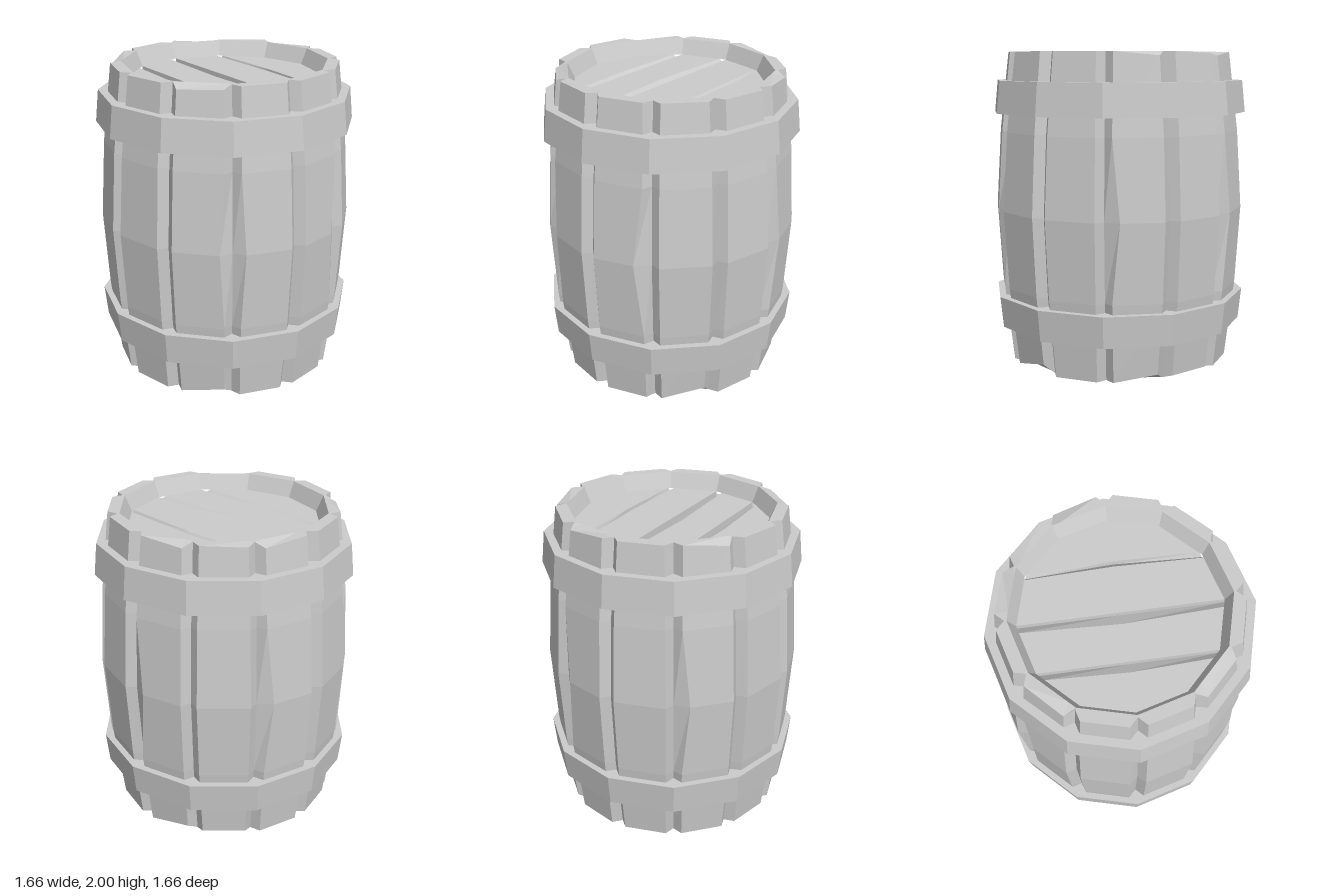
import * as THREE from 'three';

const SIDES = 12;
const material = new THREE.MeshStandardMaterial({ color: 0xcccccc, flatShading: true });

function meshFrom(name, positions, index) {
  const geometry = new THREE.BufferGeometry();
  geometry.setAttribute('position', new THREE.Float32BufferAttribute(positions, 3));
  geometry.setIndex(index);
  const flat = geometry.toNonIndexed();
  flat.computeVertexNormals();
  const mesh = new THREE.Mesh(flat, material);
  mesh.name = name;
  return mesh;
}

// Worn staves: lo/hi = side inset at mid height, bot/top = chipped end corners [lo, hi]
const wear = {
  0: { hi: 0.06 },
  1: { bot: [0, 0.06] },
  3: { lo: 0.05, bot: [0, 0.04], top: [0, 0.025] },
  4: { bot: [0.02, 0.02], top: [0, 0.01] },
  5: { lo: 0.05, top: [0.025, 0] },
  7: { lo: 0.05, top: [0, 0.03] },
  10: { hi: 0.03, bot: [0, 0.04], top: [0.03, 0.02] },
  11: { lo: 0.03 },
};

// Rows of the wall: [y, radius, groove radius, kind], from bottom recess over the outside to top recess
const rows = [
  [0.1, 0.61, 0.61], [0, 0.655, 0.655],
  [0, 0.733, 0.668, 'bot'], [0.5, 0.793, 0.73], [1, 0.824, 0.76, 'mid'], [1.5, 0.793, 0.73], [2, 0.733, 0.668, 'top'],
  [2, 0.655, 0.655], [1.9, 0.61, 0.61],
];

function createStaves() {
  const positions = [], index = [];
  const corner = (r, i) => {
    const a = (i / SIDES) * Math.PI * 2;
    return new THREE.Vector3(Math.sin(a) * r, 0, Math.cos(a) * r);
  };
  for (const [y, r, grooveR, kind] of rows) {
    for (let i = 0; i < SIDES; i++) {
      const w = wear[i] || {};
      const edge = 2 * r * Math.sin(Math.PI / SIDES);
      const a = corner(r, i), b = corner(r, i + 1), groove = corner(grooveR, i);
      const side = (which) => (0.052 + (kind === 'mid' ? w[which] || 0 : 0)) / edge;
      const chip = (k) => (kind === 'bot' ? w.bot?.[k] || 0 : kind === 'top' ? -(w.top?.[k] || 0) : 0);
      const lo = a.clone().lerp(b, side('lo')), hi = b.clone().lerp(a, side('hi'));
      positions.push(groove.x, y, groove.z, lo.x, y + chip(0), lo.z, hi.x, y + chip(1), hi.z);
    }
  }
  const n = SIDES * 3;
  for (let j = 0; j < rows.length - 1; j++) {
    for (let i = 0; i < n; i++) {
      const a = j * n + i, b = j * n + ((i + 1) % n);
      index.push(a, b, b + n, a, b + n, a + n);
    }
  }
  return meshFrom('staves', positions, index);
}

// Half depth of the twelve-sided lid at a given x
function halfDepth(x) {
  const R = 0.612, ax = Math.abs(x);
  for (let i = 0; i < 3; i++) {
    const a0 = (i * Math.PI) / 6, a1 = ((i + 1) * Math.PI) / 6;
    const x0 = R * Math.sin(a0), x1 = R * Math.sin(a1);
    if (ax <= x1) return THREE.MathUtils.mapLinear(ax, x0, x1, R * Math.cos(a0), R * Math.cos(a1));
  }
  return 0;
}

// Planked lid: columns [x, drop, shift at the middle], each groove slopes down then steps up
function createLid(name, y, dir) {
  const columns = [
    [-0.612, 0, 0], [-0.53, 0, 0],
    [-0.35, 0, -0.02], [-0.308, 0.035, 0], [-0.306, 0, 0],
    [-0.045, 0, -0.025], [0, 0.035, 0], [0.002, 0, 0],
    [0.285, 0, 0.015], [0.306, 0.035, 0.025], [0.32, 0, 0.015],
    [0.53, 0, 0], [0.612, 0, 0],
  ];
  const positions = [], index = [];
  columns.forEach(([x, drop, shift], c) => {
    const d = halfDepth(x), h = y - dir * drop;
    positions.push(x, h, -d, x + shift, h, 0, x, h, d);
    if (c === columns.length - 1) return;
    for (let k = 0; k < 2; k++) {
      const a = c * 3 + k, b = a + 1, e = a + 3, f = a + 4;
      if (dir > 0) index.push(a, b, f, a, f, e);
      else index.push(a, f, b, a, e, f);
    }
  });
  return meshFrom(name, positions, index);
}

// Tapered twelve-sided band, wider towards the belly
function createHoop(name, y0, r0, y1, r1) {
  const inner = 0.66;
  const profile = [[inner, y0], [r0, y0], [r1, y1], [inner, y1]].map(([r, y]) => new THREE.Vector2(r, y));
  const mesh = new THREE.Mesh(new THREE.LatheGeometry(profile, SIDES), material);
  mesh.name = name;
  return mesh;
}

export function createModel() {
  const barrel = new THREE.Group();
  barrel.name = 'barrel';
  barrel.add(
    createStaves(),
    createLid('topLid', 1.9, 1),
    createLid('bottomLid', 0.1, -1),
    createHoop('topHoop', 1.615, 0.828, 1.82, 0.807),
    createHoop('bottomHoop', 0.24, 0.807, 0.44, 0.828),
  );
  return barrel;
}
